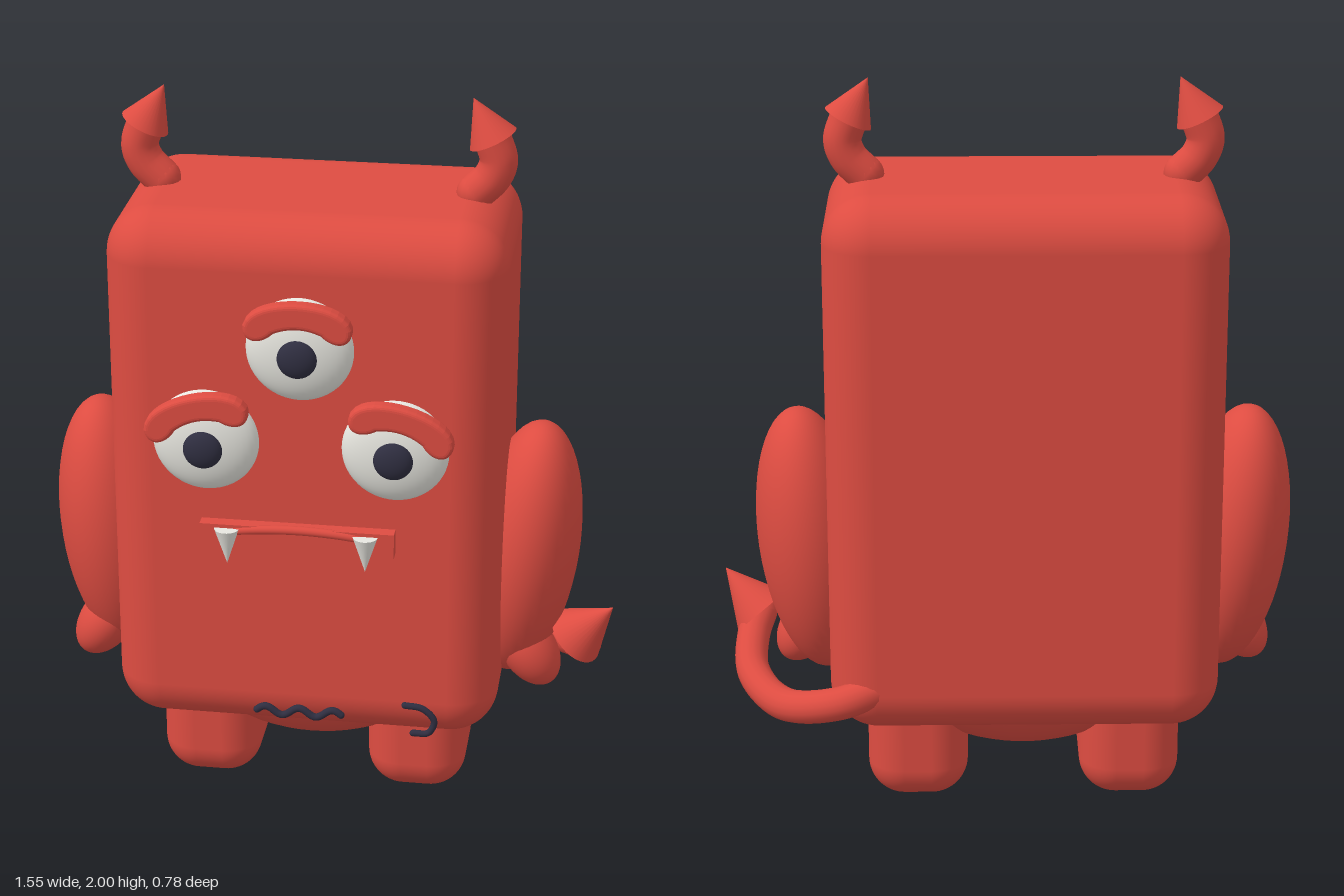
import * as THREE from 'three';
import { RoundedBoxGeometry } from 'three/addons/geometries/RoundedBoxGeometry.js';

const CX = -0.05; // symmetry plane of the body
const CZ = -0.04;

export function createModel() {
  const root = new THREE.Group();
  const mat = (name, color) => {
    const m = new THREE.MeshStandardMaterial({ color });
    m.name = name;
    return m;
  };
  const red = mat('red skin', 0xdd4c41);
  const white = mat('eye white', 0xe8e7e0);
  const dark = mat('dark slate', 0x2f2e40);

  const add = (name, geo, material, x = 0, y = 0, z = 0) => {
    const m = new THREE.Mesh(geo, material);
    m.name = name;
    m.position.set(x, y, z);
    root.add(m);
    return m;
  };
  const ellipsoid = (name, material, pos, radii, tilt = 0) => {
    const m = add(name, new THREE.SphereGeometry(1, 40, 28), material, ...pos);
    m.scale.set(...radii);
    m.rotation.z = tilt;
    return m;
  };
  // Tube along points, with rounded ends
  const tube = (name, material, points, r, segments = 40) => {
    const pts = points.map(p => new THREE.Vector3(...p));
    add(name, new THREE.TubeGeometry(new THREE.CatmullRomCurve3(pts), segments, r, 16), material);
    for (const p of [pts[0], pts[pts.length - 1]])
      add(name + 'End', new THREE.SphereGeometry(r, 16, 12), material, p.x, p.y, p.z);
  };
  // Cone from the centre of its base to its tip
  const spike = (name, material, base, tip, r) => {
    const a = new THREE.Vector3(...base), b = new THREE.Vector3(...tip);
    const dir = b.clone().sub(a);
    const mid = a.clone().addScaledVector(dir, 0.5);
    const m = add(name, new THREE.ConeGeometry(r, dir.length(), 32), material, mid.x, mid.y, mid.z);
    m.quaternion.setFromUnitVectors(new THREE.Vector3(0, 1, 0), dir.normalize());
  };

  // Body and round belly underneath
  add('body', new RoundedBoxGeometry(1.05, 1.48, 0.64, 8, 0.13), red, CX, 1.0, CZ);
  ellipsoid('belly', red, [CX, 0.41, CZ], [0.4, 0.275, 0.28]);

  // Paired limbs and horns
  for (const s of [-1, 1]) {
    const side = s < 0 ? 'right' : 'left';
    const X = d => CX + s * d;
    add(side + 'Leg', new RoundedBoxGeometry(0.275, 0.38, 0.35, 8, 0.1), red, X(0.292), 0.19, -0.045);
    ellipsoid(side + 'Arm', red, [X(0.575), 0.725, CZ], [0.148, 0.376, 0.2], -s * 0.11);
    ellipsoid(side + 'Hand', red, [X(0.595), 0.445, 0.02], [0.075, 0.12, 0.09], s * 0.6);
    tube(side + 'Horn', red, [
      [X(0.415), 1.745, CZ], [X(0.458), 1.79, CZ], [X(0.473), 1.835, CZ], [X(0.455), 1.895, CZ],
    ], 0.05);
    spike(side + 'HornTip', red, [X(0.457), 1.892, CZ], [X(0.404), 2.0, CZ], 0.066);
  }

  // Curled tail with pointed tip
  tube('tail', red, [
    [0.33, 0.4, -0.31], [0.45, 0.365, -0.342], [0.6, 0.335, -0.275],
    [0.69, 0.375, -0.15], [0.695, 0.44, -0.05], [0.677, 0.485, 0.008],
  ], 0.045, 60);
  spike('tailTip', red, [0.675, 0.485, 0.01], [0.775, 0.6, 0.05], 0.085);

  // Drooping eyelid outline, relative to the eye centre
  const lid = new THREE.Shape();
  lid.moveTo(-0.128, 0.075);
  lid.bezierCurveTo(-0.11, 0.145, 0.11, 0.145, 0.128, 0.075);
  lid.bezierCurveTo(0.13, 0.035, 0.09, 0.045, 0.07, 0.068);
  lid.quadraticCurveTo(0, 0.1, -0.07, 0.068);
  lid.bezierCurveTo(-0.09, 0.045, -0.13, 0.035, -0.128, 0.075);
  const lidGeo = new THREE.ExtrudeGeometry(lid, {
    depth: 0.022, bevelThickness: 0.011, bevelSize: 0.013, bevelSegments: 4, curveSegments: 16,
  });

  // Three eyes: x, y, eyelid tilt
  for (const [name, x, y, tilt] of [
    ['middle', CX, 1.41, 0], ['right', -0.3, 1.14, 0.27], ['left', 0.2, 1.14, -0.27],
  ]) {
    ellipsoid(name + 'Eye', white, [x, y, 0.275], [0.142, 0.142, 0.06]);
    ellipsoid(name + 'Pupil', dark, [x, y - 0.008, 0.33], [0.052, 0.052, 0.028]);
    add(name + 'Eyelid', lidGeo, red, x, y, 0.302).rotation.z = tilt;
  }

  // Mouth bar, arched lip and fangs
  add('mouth', new THREE.BoxGeometry(0.515, 0.07, 0.035), red, CX, 0.897, 0.34);
  tube('upperLip', red, [
    [-0.25, 0.908, 0.35], [-0.16, 0.92, 0.352], [CX, 0.925, 0.352], [0.06, 0.92, 0.352], [0.15, 0.908, 0.35],
  ], 0.012);
  for (const x of [-0.235, 0.132])
    spike('fang', white, [x, 0.922, 0.357], [x, 0.82, 0.357], 0.033);

  // Wavy line and hook near the bottom of the front
  const wave = [];
  for (let i = 0; i <= 20; i++)
    wave.push([-0.165 + i * 0.0115, 0.365 + 0.012 * Math.sin(i / 20 * Math.PI * 5), 0.33]);
  tube('wavyLine', dark, wave, 0.01, 60);
  tube('hookLine', dark, [
    [0.237, 0.402, 0.317], [0.285, 0.395, 0.317], [0.317, 0.36, 0.317], [0.302, 0.322, 0.317], [0.26, 0.318, 0.317],
  ], 0.009);

  return root;
}
